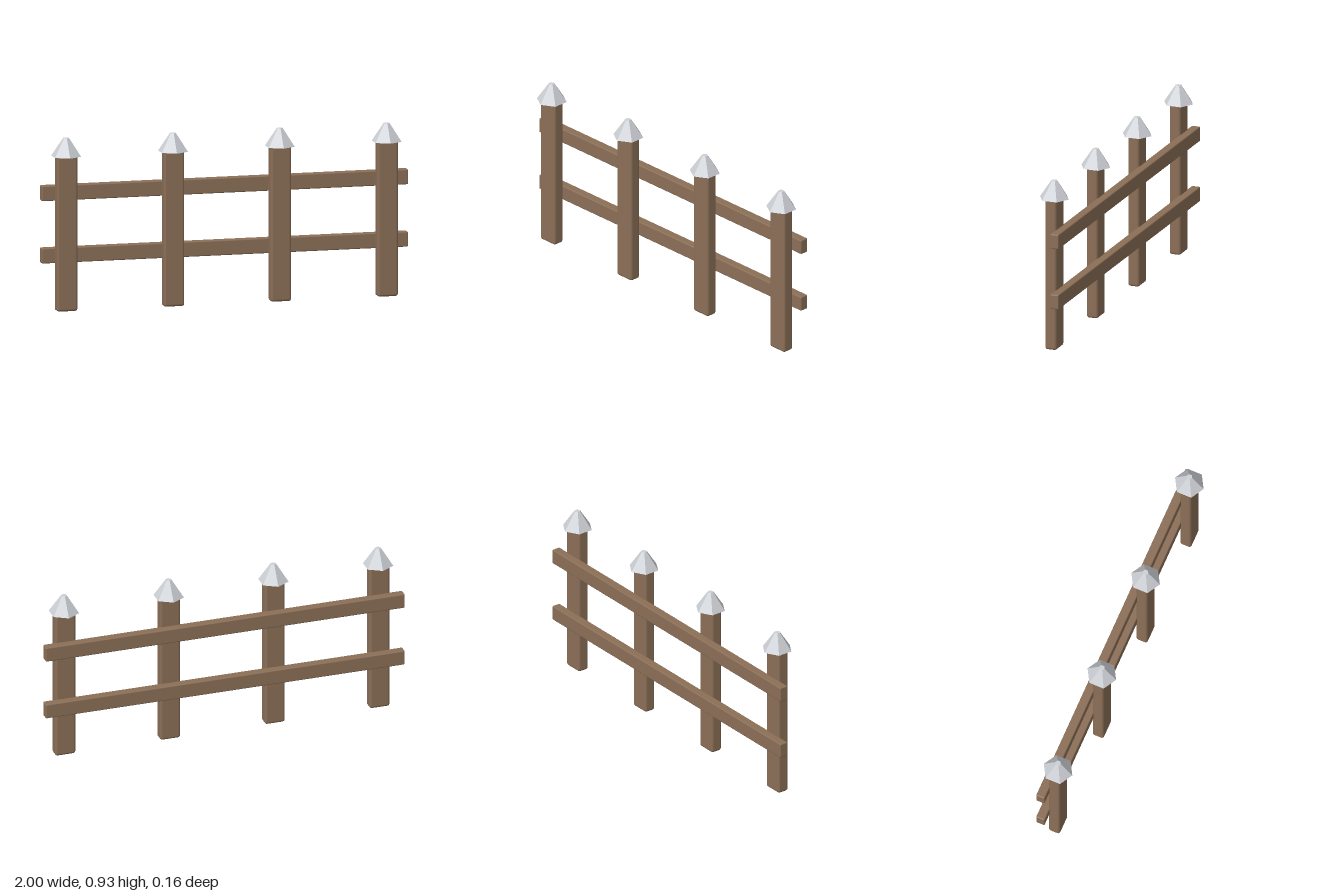
import * as THREE from 'three';
import { RoundedBoxGeometry } from 'three/addons/geometries/RoundedBoxGeometry.js';

export function createModel() {
  const fence = new THREE.Group();
  fence.name = 'fence';

  const wood = new THREE.MeshStandardMaterial({ color: 0x8b6f57 });
  wood.name = 'brown wood';
  const metal = new THREE.MeshStandardMaterial({ color: 0xcdd0d5, flatShading: true });
  metal.name = 'pale grey metal';

  const add = (name, geometry, material, x, y, z) => {
    const mesh = new THREE.Mesh(geometry, material);
    mesh.name = name;
    mesh.position.set(x, y, z);
    fence.add(mesh);
  };

  // Four upright posts, each with a blunt six-sided metal cap
  const postGeometry = new RoundedBoxGeometry(0.112, 0.833, 0.064, 2, 0.013);
  const capGeometry = new THREE.CylinderGeometry(0.016, 0.082, 0.098, 6);
  for (let i = 0; i < 4; i++) {
    const x = -0.875 + i * 0.5833;
    add('post' + (i + 1), postGeometry, wood, x, 0.4165, 0);
    add('cap' + (i + 1), capGeometry, metal, x, 0.877, 0);
  }

  // Two rails running along the back of the posts
  const railGeometry = new RoundedBoxGeometry(2, 0.081, 0.048, 2, 0.006);
  add('lowerRail', railGeometry, wood, 0, 0.293, -0.049);
  add('upperRail', railGeometry, wood, 0, 0.627, -0.049);

  return fence;
}
